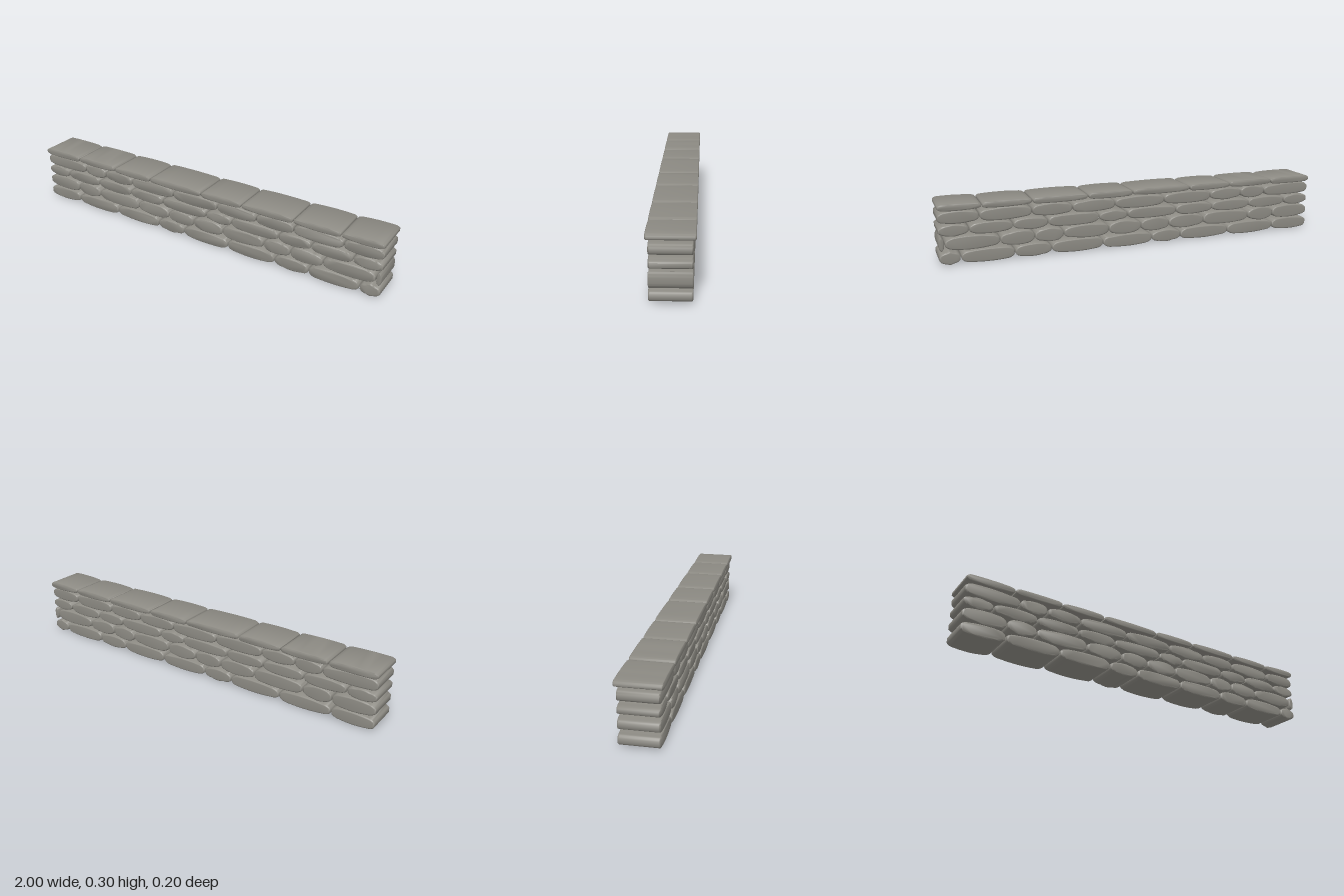
import * as THREE from 'three';
import { toCreasedNormals } from 'three/addons/utils/BufferGeometryUtils.js';

// small seeded generator for the irregular stone ends
let seed = 7;
function rand(min, max) {
  seed = (seed * 16807) % 2147483647;
  return min + (max - min) * (seed / 2147483647);
}

const material = new THREE.MeshStandardMaterial({ color: 0x8c8a83 });

// A stone: rounded, tapering outline in x and y, run through the wall's thickness with softened edges
function stone(name, x0, x1, y0, y1, halfDepth, taper) {
  const w = x1 - x0, h = y1 - y0, mid = (x0 + x1) / 2;
  const t = () => Math.min(taper * rand(0.75, 1.3), w * 0.35);
  const drop = () => h * rand(0.04, 0.13);
  const endLow = h * 0.34, endHigh = h * 0.66;
  const bl = t(), br = t(), tl = t(), tr = t();
  const shape = new THREE.Shape();
  shape.moveTo(x0, y0 + endLow);
  shape.quadraticCurveTo(x0 + bl * 0.3, y0 + h * 0.12, x0 + bl, y0 + drop());
  shape.quadraticCurveTo(mid, y0 - h * 0.06, x1 - br, y0 + drop());
  shape.quadraticCurveTo(x1 - br * 0.3, y0 + h * 0.12, x1, y0 + endLow);
  shape.lineTo(x1, y0 + endHigh);
  shape.quadraticCurveTo(x1 - tr * 0.3, y1 - h * 0.12, x1 - tr, y1 - drop());
  shape.quadraticCurveTo(mid, y1 + h * 0.06, x0 + tl, y1 - drop());
  shape.quadraticCurveTo(x0 + tl * 0.3, y1 - h * 0.12, x0, y0 + endHigh);
  shape.closePath();

  const bevel = Math.min(0.007, w * 0.2);
  const depth = 2 * (halfDepth - bevel);
  const geometry = new THREE.ExtrudeGeometry(shape, {
    depth, curveSegments: 5, bevelEnabled: true, bevelSegments: 3,
    bevelSize: bevel, bevelThickness: bevel, bevelOffset: -bevel,
  });
  geometry.translate(0, 0, -depth / 2);
  const mesh = new THREE.Mesh(toCreasedNormals(geometry, 0.9), material);
  mesh.name = name;
  return mesh;
}

// Each course: height range, half thickness, end taper and the left edge of every stone
const courses = [
  { name: 'bottomCourse', y: [0, 0.068], z: 0.09, taper: 0.035,
    starts: [-1, -0.785, -0.51, -0.235, -0.072, 0.193, 0.46, 0.642, 0.9] },
  { name: 'secondCourse', y: [0.067, 0.139], z: 0.09, taper: 0.035,
    starts: [-1, -0.785, -0.633, -0.367, -0.168, -0.013, 0.162, 0.397, 0.542, 0.712, 0.973] },
  { name: 'thirdCourse', y: [0.138, 0.198], z: 0.09, taper: 0.035,
    starts: [-1, -0.855, -0.635, -0.415, -0.207, 0.062, 0.212, 0.475, 0.647, 0.857] },
  { name: 'fourthCourse', y: [0.197, 0.263], z: 0.09, taper: 0.035,
    starts: [-1, -0.728, -0.585, -0.405, -0.14, 0.128, 0.35, 0.553, 0.806] },
  { name: 'capCourse', y: [0.263, 0.3], z: 0.102, taper: 0.022,
    starts: [-1, -0.76, -0.512, -0.278, 0.037, 0.272, 0.552, 0.795] },
];

export function createModel() {
  seed = 7;
  const wall = new THREE.Group();
  wall.name = 'stoneWall';
  for (const { name, y, z, taper, starts } of courses) {
    const course = new THREE.Group();
    course.name = name;
    starts.forEach((start, i) => {
      const last = i === starts.length - 1;
      const x0 = i === 0 ? -1 : start + 0.003;
      const x1 = last ? 1 : starts[i + 1] - 0.003;
      const label = name === 'capCourse' ? 'capStone' : 'wallStone';
      course.add(stone(label + (i + 1), x0, x1, y[0], y[1], z, taper));
    });
    wall.add(course);
  }
  return wall;
}
